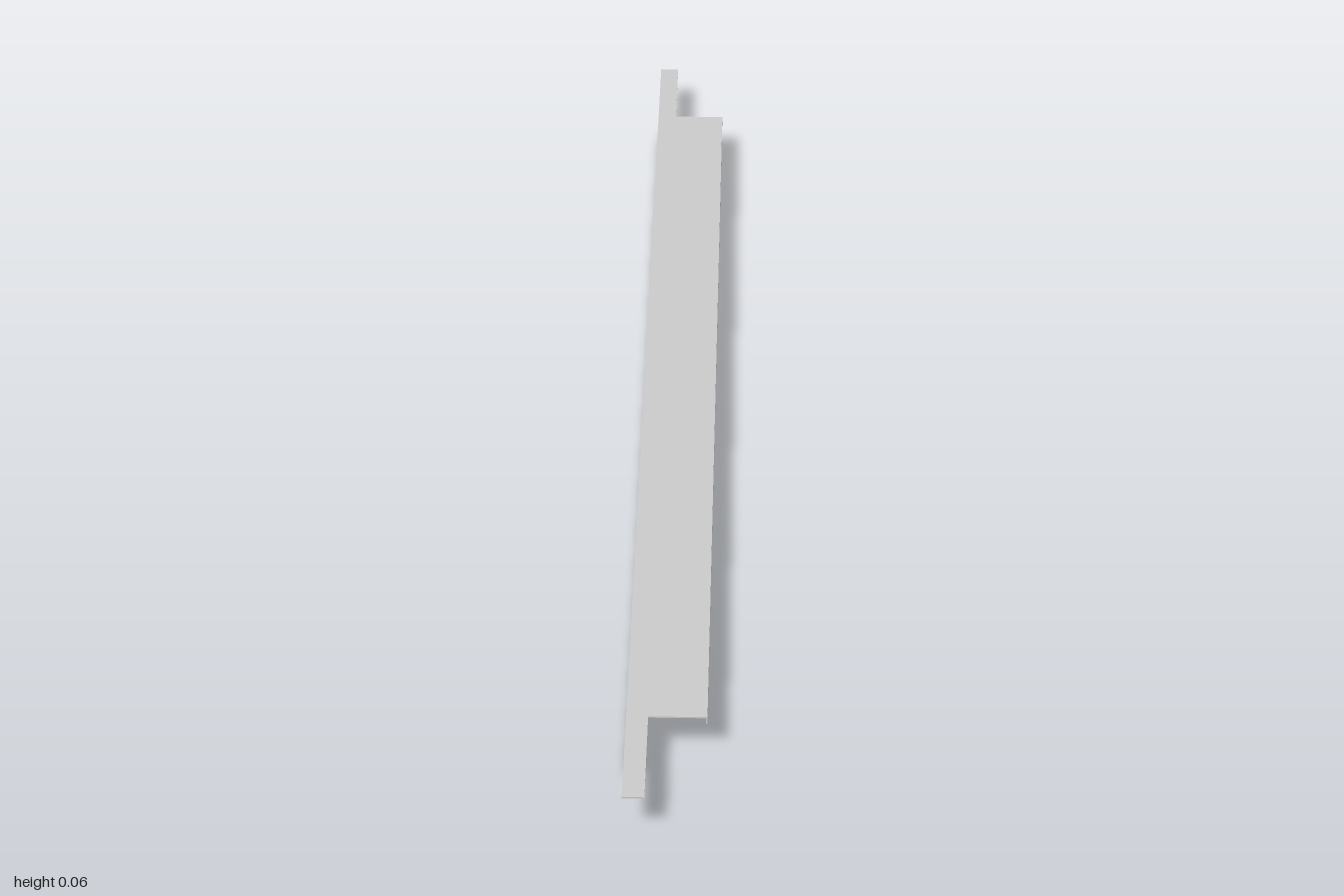
import * as THREE from 'three';

const W = 0.0525;     // half width
const H = 0.064;      // height
const T = 0.002;      // sheet thickness
const TAB_X = -0.024; // inner edge of the end tabs
const TOP_Z = 0.83;   // half length of the full-width top
const WEB_Z = 0.872;  // half length of the web at its foot

export function createModel() {
  const group = new THREE.Group();
  const material = new THREE.MeshStandardMaterial({ color: 0xcccccc });
  const add = (name, geometry) => {
    const mesh = new THREE.Mesh(geometry, material);
    mesh.name = name;
    group.add(mesh);
  };
  const extrude = (shape) =>
    new THREE.ExtrudeGeometry(shape, { depth: T, bevelEnabled: false, curveSegments: 16 });

  // Top plate with a narrow tab at each end, drawn in x and z
  const top = new THREE.Shape([
    [-W, -1], [TAB_X, -1], [TAB_X, -TOP_Z], [W, -TOP_Z],
    [W, TOP_Z], [TAB_X, TOP_Z], [TAB_X, 1], [-W, 1],
  ].map(([x, z]) => new THREE.Vector2(x, z)));
  add('topPlate', extrude(top).rotateX(Math.PI / 2).translate(0, H, 0));

  // Upright web with concave rounded ends and a hole near each end, drawn in z and y
  const r = H - T;
  const web = new THREE.Shape();
  web.moveTo(-WEB_Z, 0);
  web.lineTo(WEB_Z, 0);
  web.absarc(WEB_Z + r, 0, r, Math.PI, Math.PI / 2, true);
  web.lineTo(-WEB_Z - r, r);
  web.absarc(-WEB_Z - r, 0, r, Math.PI / 2, 0, true);
  for (const side of [-1, 1]) {
    web.holes.push(new THREE.Path().absarc(side * 0.842, 0.034, 0.01, 0, Math.PI * 2, true));
  }
  add('sideWeb', extrude(web).rotateY(-Math.PI / 2).translate(-W + T, 0, 0));

  // Short lip turned down along the far edge
  const lip = 0.011;
  add('edgeLip', new THREE.BoxGeometry(T, lip - T, 2 * TOP_Z)
    .translate(W - T / 2, H - T - (lip - T) / 2, 0));

  return group;
}
